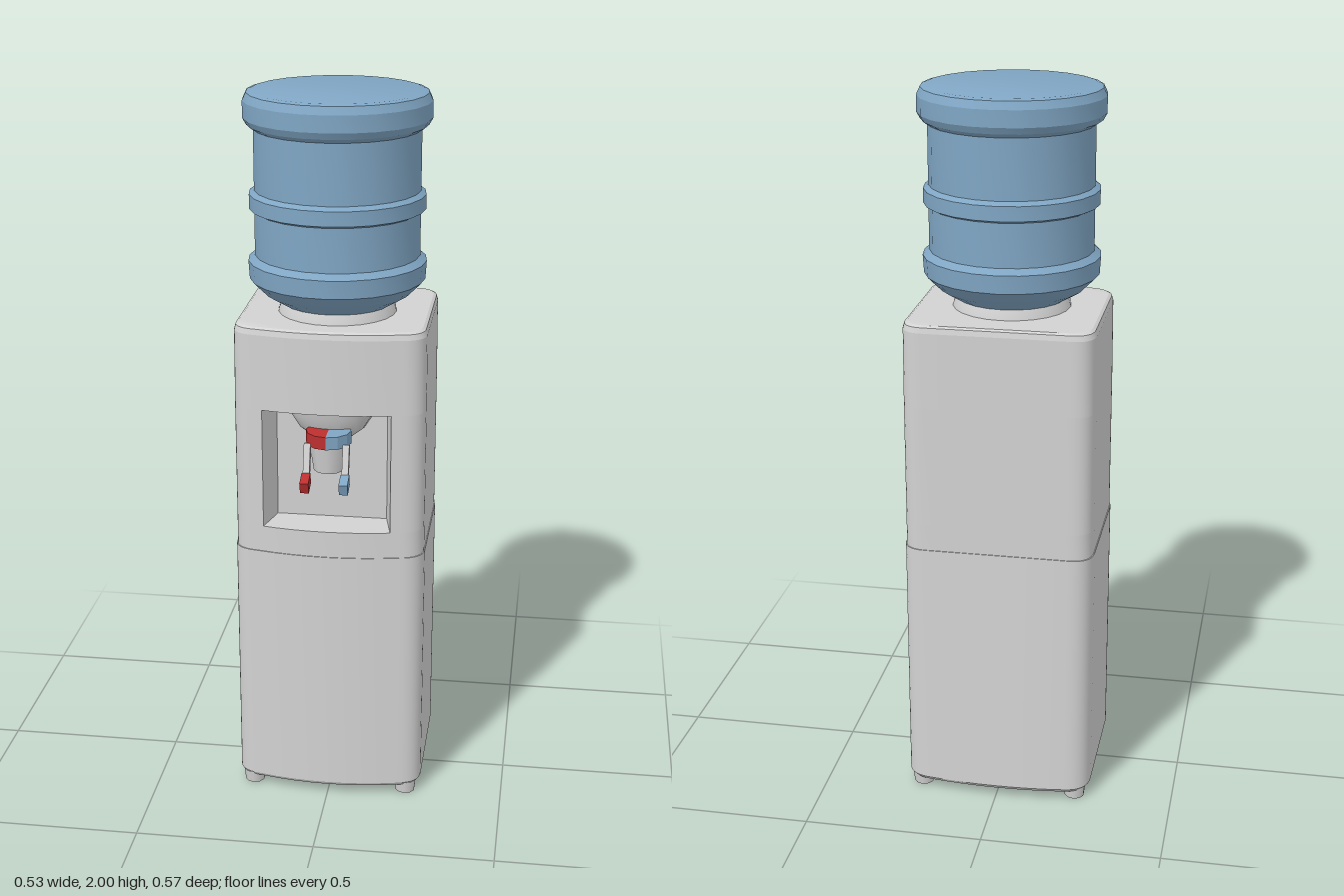
import * as THREE from 'three';
import { toCreasedNormals } from 'three/addons/utils/BufferGeometryUtils.js';

const W = 0.265, R = 0.065, FRONT = 0.205, BACK = 0.26;

// Plan of the cabinet (shape y is -z): rounded corners, bowed front, optional front niche
function plan(niche) {
  const s = new THREE.Shape();
  s.moveTo(-W + R, -FRONT);
  if (niche) {
    s.lineTo(-0.18, -0.209);
    s.lineTo(-0.155, -0.11);
    s.lineTo(0.155, -0.11);
    s.lineTo(0.175, -0.209);
    s.lineTo(W - R, -FRONT);
  } else {
    s.quadraticCurveTo(0, -FRONT - 0.046, W - R, -FRONT);
  }
  s.quadraticCurveTo(W, -FRONT + 0.008, W, -FRONT + R);
  s.lineTo(W, BACK - R);
  s.quadraticCurveTo(W, BACK, W - R, BACK);
  s.quadraticCurveTo(0, BACK, -W + R, BACK);
  s.quadraticCurveTo(-W, BACK, -W, BACK - R);
  s.lineTo(-W, -FRONT + R);
  s.quadraticCurveTo(-W, -FRONT + 0.008, -W + R, -FRONT);
  return s;
}

// Vertical slab of the plan between two heights, with a rule that moves its vertices
function slab(y0, y1, rule, niche = false) {
  const g = new THREE.ExtrudeGeometry(plan(niche), { depth: y1 - y0, bevelEnabled: false, curveSegments: 8 });
  g.rotateX(-Math.PI / 2).translate(0, y0, 0);
  const p = g.attributes.position, v = new THREE.Vector3();
  for (let i = 0; i < p.count; i++) {
    v.fromBufferAttribute(p, i);
    rule(v, (v.y - y0) / (y1 - y0));
    p.setXYZ(i, v.x, v.y, v.z);
  }
  return toCreasedNormals(g, 0.5);
}

// Scale the plan linearly from bottom to top, about its own centre
const taper = (a, b) => (v, t) => {
  const k = a + (b - a) * t, c = -0.025;
  v.x *= k;
  v.z = c + (v.z - c) * k;
};

function lathe(points, segments) {
  const g = new THREE.LatheGeometry(points.map(([r, y]) => new THREE.Vector2(r, y)), segments);
  return toCreasedNormals(g, 0.4);
}

export function createModel() {
  const model = new THREE.Group();
  model.name = 'waterCooler';
  const grey = new THREE.MeshStandardMaterial({ name: 'lightGrey', color: 0xd2d2d2 });
  const blue = new THREE.MeshStandardMaterial({ name: 'bottleBlue', color: 0x80a6c4 });
  const red = new THREE.MeshStandardMaterial({ name: 'hotRed', color: 0xbd2f2f });

  function add(name, geometry, material, x = 0, y = 0, z = 0, parent = model) {
    const m = new THREE.Mesh(geometry, material);
    m.name = name;
    m.position.set(x, y, z);
    parent.add(m);
    return m;
  }

  // Cabinet, stacked from the base up; the lower back flares out towards the floor
  const cabinet = new THREE.Group();
  cabinet.name = 'cabinet';
  model.add(cabinet);
  const part = (name, g) => add(name, g, grey, 0, 0, 0, cabinet);
  part('lowerCabinet', slab(0.04, 0.755, (v, t) => {
    if (v.z < -0.19) v.z -= 0.025 * (1 - t) * (1 - (v.x / 0.272) ** 2);
  }));
  part('baseEdge', slab(0.03, 0.04, (v, t) => {
    if (v.z < -0.19) v.z -= 0.025 * (1 - (v.x / 0.272) ** 2);
    taper(0.975, 1)(v, t);
  }));
  part('waist', slab(0.755, 0.83, taper(0.99, 0.99)));
  part('nicheSurround', slab(0.83, 1.17, taper(0.99, 0.99), true));
  part('header', slab(1.17, 1.38, taper(0.99, 0.985)));
  part('topEdge', slab(1.38, 1.395, taper(0.985, 0.97)));
  part('topPanel', slab(1.395, 1.4, taper(0.97, 0.94)));

  // Feet
  for (const x of [-0.222, 0.222])
    for (const z of [-0.222, 0.165])
      add('foot', new THREE.CylinderGeometry(0.032, 0.028, 0.036, 10), grey, x, 0.018, z);

  // Bowl-shaped housing under the niche ceiling
  const housing = add('tapHousing',
    lathe([[0, 1.06], [0.045, 1.065], [0.09, 1.1], [0.115, 1.14], [0.125, 1.172]], 20), grey, 0, 0, 0.11);
  housing.scale.z = 0.65;

  // Tap with a hot and a cold side
  const tap = new THREE.Group();
  tap.name = 'tap';
  model.add(tap);
  add('tapBody', new THREE.CylinderGeometry(0.054, 0.042, 0.08, 10), grey, 0, 1.037, 0.172, tap);
  add('tapMount', new THREE.BoxGeometry(0.08, 0.075, 0.08), grey, 0, 1.04, 0.135, tap);
  for (const [side, name, colour] of [[-1, 'hot', red], [1, 'cold', blue]]) {
    const cap = new THREE.CylinderGeometry(0.062, 0.062, 0.036, 6, 1, false, side > 0 ? 0 : Math.PI, Math.PI);
    add(name + 'Cap', toCreasedNormals(cap, 0.3), colour, 0, 1.094, 0.177, tap);
    const x = side * 0.053;
    const arm = add(name + 'Arm', new THREE.BoxGeometry(0.018, 0.09, 0.018), grey, x, 1.04, 0.222, tap);
    arm.rotation.x = -0.3;
    const lever = add(name + 'Lever', new THREE.BoxGeometry(0.024, 0.034, 0.044), colour, x, 0.985, 0.256, tap);
    lever.rotation.x = 0.35;
  }

  // Collar that holds the bottle
  add('bottleCollar', lathe([[0.165, 1.39], [0.16, 1.412], [0.15, 1.435], [0, 1.435]], 24), grey, 0, 0, -0.005);

  // Water bottle standing on its neck, with two ribs and a wide rim
  add('waterBottle', lathe([
    [0, 1.425], [0.15, 1.425], [0.2, 1.455], [0.24, 1.495], [0.243, 1.545], [0.225, 1.56],
    [0.225, 1.68], [0.239, 1.687], [0.239, 1.727], [0.225, 1.737], [0.225, 1.9],
    [0.243, 1.912], [0.253, 1.93], [0.253, 1.975], [0.243, 1.996], [0.23, 2], [0, 2],
  ], 24), blue, 0, 0, -0.005);

  return model;
}
